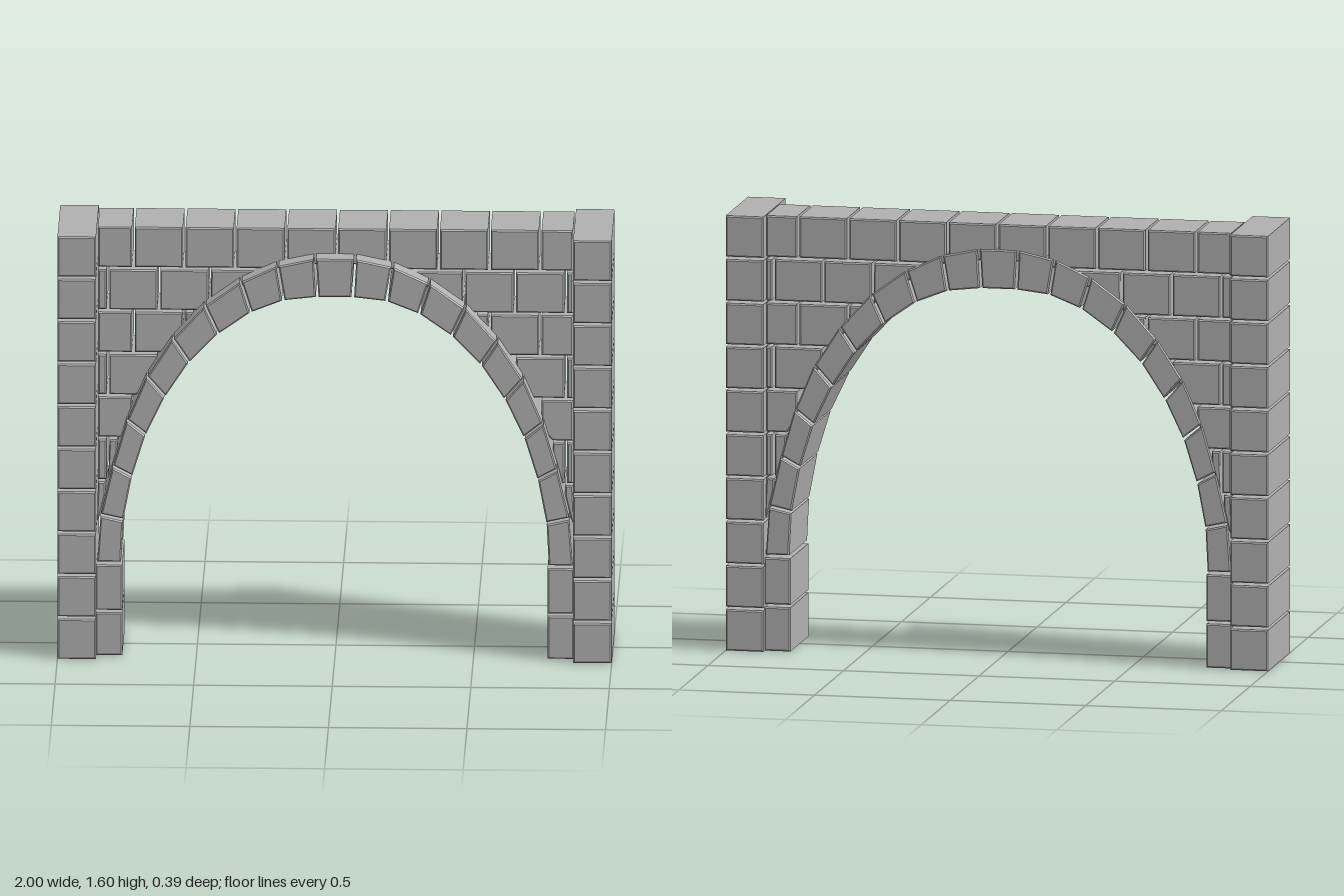
import * as THREE from 'three';

const stone = new THREE.MeshStandardMaterial({ color: 0xb0b0b0 });
stone.name = 'grey stone';

const ROW = 0.1605;   // course height
const GAP = 0.005;    // half of a joint
const BEVEL = 0.005;

// Arch joints from springing to keystone, right half: [inner x, inner y, outer x, outer y]
const JOINTS = [
  [0.767, 0.348, 0.863, 0.348], [0.759, 0.51, 0.85, 0.53], [0.728, 0.674, 0.806, 0.715],
  [0.679, 0.832, 0.754, 0.89], [0.61, 0.975, 0.682, 1.055], [0.524, 1.105, 0.588, 1.198],
  [0.42, 1.213, 0.472, 1.324], [0.303, 1.295, 0.342, 1.417], [0.186, 1.341, 0.209, 1.478],
  [0.064, 1.355, 0.073, 1.507],
];

// Bevelled stone from a counter-clockwise outline, inset by half a joint
function block(name, points, z0, z1) {
  const shape = new THREE.Shape(points.map(([x, y]) => new THREE.Vector2(x, y)));
  const geometry = new THREE.ExtrudeGeometry(shape, {
    depth: z1 - z0 - 2 * BEVEL, bevelEnabled: true, bevelSegments: 1,
    bevelThickness: BEVEL, bevelSize: BEVEL, bevelOffset: -(GAP + BEVEL),
  });
  geometry.translate(0, 0, z0 + BEVEL);
  const mesh = new THREE.Mesh(geometry, stone);
  mesh.name = name;
  return mesh;
}

const rect = (x0, y0, x1, y1) => [[x0, y0], [x1, y0], [x1, y1], [x0, y1]];
const mirror = (points) => points.map(([x, y]) => [-x, y]).reverse();

// Lower limit of the wall: a curve hidden just inside the arch ring
function wallLimit(x) {
  const u = Math.abs(x);
  for (let i = 0; i < JOINTS.length - 1; i++) {
    const [, , xa, ya] = JOINTS[i], [, , xb, yb] = JOINTS[i + 1];
    if (u >= xb) return THREE.MathUtils.lerp(yb, ya, Math.min(1, (u - xb) / (xa - xb))) - 0.05;
  }
  return 1.457;
}

// Outline of a wall brick trimmed to the arch, or null when nothing is left
function trimmedBrick(x0, y0, x1, y1) {
  const blocked = (x) => wallLimit(x) > y1 - 0.04;
  while (x0 < x1 && x0 >= 0 && blocked(x0)) x0 += 0.003;
  while (x0 < x1 && x1 <= 0 && blocked(x1)) x1 -= 0.003;
  if (x1 - x0 < 0.028 || blocked(x0) || blocked(x1)) return null;
  const steps = Math.max(1, Math.round((x1 - x0) / 0.02));
  const points = [];
  for (let i = 0; i <= steps; i++) {
    const x = THREE.MathUtils.lerp(x0, x1, i / steps);
    points.push([x, Math.max(y0, wallLimit(x))]);
  }
  return [...points, [x1, y1], [x0, y1]];
}

export function createModel() {
  const model = new THREE.Group();
  model.name = 'stoneArchway';
  const pillars = new THREE.Group(), arch = new THREE.Group(), wall = new THREE.Group();
  pillars.name = 'pillars';
  arch.name = 'arch';
  wall.name = 'wall';
  model.add(pillars, arch, wall);

  const addPair = (group, name, points, z0, z1) => group.add(
    block(name, points, z0, z1), block(name, mirror(points), z0, z1));

  // Pillars of ten stacked stones
  for (let i = 0; i < 10; i++) {
    const y = i * ROW - GAP;
    addPair(pillars, 'pillarStone', rect(0.856, y, 1 + GAP, y + ROW), -0.197, 0.197);
  }

  // Upright jambs, then wedge stones up to the keystone
  const back = -0.17, front = 0.148;
  addPair(arch, 'jambStone', rect(0.762, -GAP, 0.868, 0.166), back, front);
  addPair(arch, 'jambStone', rect(0.762, 0.166, 0.868, 0.346), back, front);
  for (let i = 0; i < JOINTS.length - 1; i++) {
    const [ax, ay, bx, by] = JOINTS[i], [cx, cy, dx, dy] = JOINTS[i + 1];
    addPair(arch, 'archStone', [[ax, ay], [bx, by], [dx, dy], [cx, cy]], back, front);
  }
  const [kx, ky, lx, ly] = JOINTS[JOINTS.length - 1];
  arch.add(block('keystone', [[-kx, ky], [kx, ky], [lx, ly], [-lx, ly]], back, front));

  // Wall in running bond, trimmed to the arch
  const length = 0.1835, end = 0.862;
  for (let row = 2; row < 10; row++) {
    const y = row * ROW - GAP;
    const shift = 0.005 + (row % 2 ? 0 : length / 2);
    for (let k = -6; k < 6; k++) {
      const x0 = Math.max(-end, k * length + shift);
      const x1 = Math.min(end, (k + 1) * length + shift);
      const outline = x1 > x0 && trimmedBrick(x0, y, x1, y + ROW);
      if (outline) wall.add(block('wallBrick', outline, -0.165, 0.075));
    }
  }
  return model;
}
